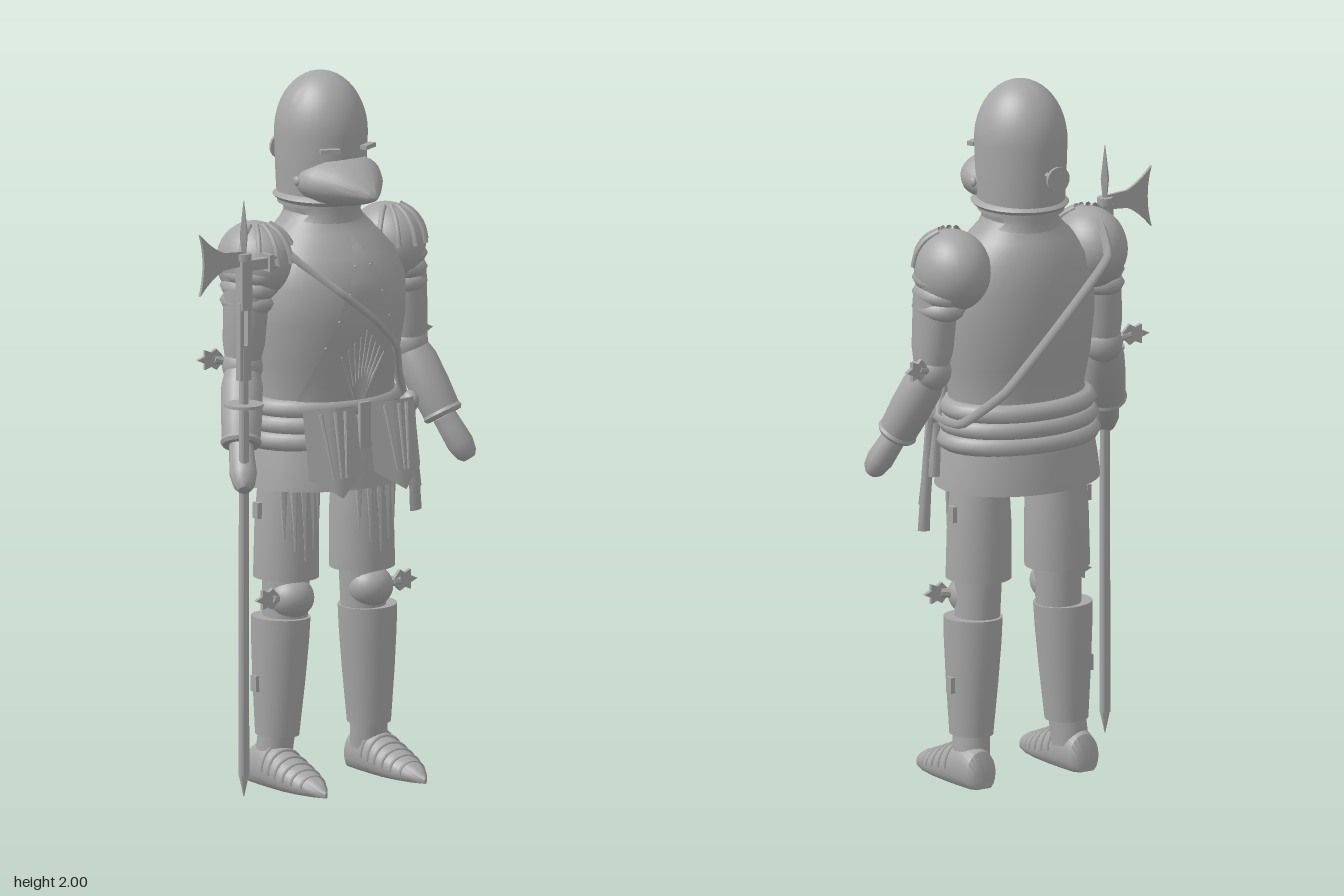
import * as THREE from 'three';
import { toCreasedNormals } from 'three/addons/utils/BufferGeometryUtils.js';

const steel = new THREE.MeshStandardMaterial({ color: 0xa6a6a6, side: THREE.DoubleSide });
steel.name = 'steel grey';
const V = (x, y, z) => new THREE.Vector3(x, y, z);

function add(parent, name, geometry, x = 0, y = 0, z = 0) {
  const mesh = new THREE.Mesh(geometry, steel);
  mesh.name = name;
  mesh.position.set(x, y, z);
  parent.add(mesh);
  return mesh;
}

// Capped skin through elliptical rings [y, rx, rz, cz, cx], listed upwards
function loft(rings, seg = 32, crease = 0.75) {
  const pos = [], idx = [];
  for (const [y, rx, rz, cz = 0, cx = 0] of rings)
    for (let j = 0; j < seg; j++) {
      const a = (j / seg) * Math.PI * 2;
      pos.push(cx + rx * Math.sin(a), y, cz + rz * Math.cos(a));
    }
  const n = rings.length, first = rings[0], last = rings[n - 1];
  pos.push(first[4] || 0, first[0], first[3] || 0, last[4] || 0, last[0], last[3] || 0);
  for (let j = 0; j < seg; j++) {
    const k = (j + 1) % seg;
    for (let i = 0; i < n - 1; i++) {
      const a = i * seg + j, b = i * seg + k;
      idx.push(a, b, b + seg, a, b + seg, a + seg);
    }
    idx.push(n * seg, k, j, n * seg + 1, (n - 1) * seg + j, (n - 1) * seg + k);
  }
  const g = new THREE.BufferGeometry();
  g.setAttribute('position', new THREE.Float32BufferAttribute(pos, 3));
  g.setIndex(idx);
  return toCreasedNormals(g, crease);
}

// Limb from low point a to high point b, rings [t, rx, rz]
function limb(parent, name, a, b, rings, seg = 24) {
  const d = b.clone().sub(a), len = d.length();
  const m = add(parent, name, loft(rings.map(([t, rx, rz = rx]) => [t * len, rx, rz]), seg), a.x, a.y, a.z);
  m.quaternion.setFromUnitVectors(V(0, 1, 0), d.normalize());
  return m;
}
const rod = (parent, name, a, b, r0, r1 = r0, seg = 8) => limb(parent, name, a, b, [[0, r0], [1, r1]], seg);

function ball(parent, name, p, rx, ry, rz) {
  const m = add(parent, name, new THREE.SphereGeometry(1, 28, 18), p.x, p.y, p.z);
  m.scale.set(rx, ry, rz);
  return m;
}

// Rounded hoop of elliptical outline
const hoop = (y, rx, rz, h, cz = 0) => loft([-1, -0.7, 0, 0.7, 1].map((t) => {
  const k = 0.02 * (1 - t * t) - 0.02;
  return [y + t * h, rx + k, rz + k, cz];
}), 36, 1.2);

const torsoRings = [[1.02, 0.205, 0.145, -0.01], [1.12, 0.205, 0.15, 0], [1.2, 0.22, 0.166, 0], [1.32, 0.235, 0.183, 0.004],
  [1.42, 0.232, 0.184, 0.006], [1.5, 0.205, 0.165, -0.005], [1.56, 0.15, 0.13, -0.018], [1.6, 0.11, 0.105, -0.02], [1.63, 0.1, 0.1, -0.02]];

// Point on the front of the breastplate, lifted by o
function chest(x, y, o) {
  let i = 0;
  while (i < torsoRings.length - 2 && y > torsoRings[i + 1][0]) i++;
  const a = torsoRings[i], b = torsoRings[i + 1], t = (y - a[0]) / (b[0] - a[0]);
  const [rx, rz, cz] = [1, 2, 3].map((k) => a[k] + (b[k] - a[k]) * t);
  return V(x, y, cz + rz * Math.sqrt(Math.max(0, 1 - (x / rx) ** 2)) + o);
}

// Pointed fan plate that opens towards +x
function fan() {
  const s = new THREE.Shape([[0, -0.008], [0.02, -0.03], [0.035, -0.02], [0.055, -0.028], [0.055, -0.01], [0.078, 0],
    [0.055, 0.01], [0.055, 0.028], [0.035, 0.02], [0.02, 0.03], [0, 0.008]].map(([x, y]) => new THREE.Vector2(x, y)));
  return new THREE.ExtrudeGeometry(s, { depth: 0.012, bevelEnabled: false }).translate(0, 0, -0.006);
}

function buildHelmet(g) {
  const skull = [[1.63, 0.118, 0.128, -0.025], [1.7, 0.122, 0.134, -0.025]];
  for (let i = 0; i <= 12; i++) {
    const a = (i / 12) * Math.PI / 2, c = Math.max(0.001, Math.cos(a));
    skull.push([1.83 + 0.17 * Math.sin(a), 0.127 * c, 0.137 * c, -0.025]);
  }
  add(g, 'helmet', loft(skull, 40, 1.2));
  add(g, 'helmetRim', hoop(1.652, 0.134, 0.145, 0.014, -0.02));
  add(g, 'gorget', loft([[1.58, 0.125, 0.115, -0.02], [1.61, 0.105, 0.11, -0.02], [1.65, 0.115, 0.12, -0.02]]));
  // Beaked visor, skinned along z
  const snout = [[0, 0.11, 0.055, 1.7], [0.04, 0.125, 0.068, 1.705], [0.09, 0.122, 0.072, 1.707], [0.14, 0.093, 0.058, 1.702],
    [0.19, 0.052, 0.035, 1.692], [0.22, 0.022, 0.016, 1.683], [0.236, 0.002, 0.002, 1.68]];
  add(g, 'visor', loft(snout.map(([z, rx, ry, y]) => [z, rx, ry, -y]), 32, 1.2).rotateX(Math.PI / 2));
  for (const s of [-1, 1]) {
    add(g, 'browBar', new THREE.BoxGeometry(0.055, 0.012, 0.02), s * 0.065, 1.8, 0.108).rotation.y = s * 0.45;
    ball(g, 'visorPivot', V(s * 0.123, 1.71, 0.03), 0.008, 0.014, 0.014);
    for (let i = 0; i < 3; i++) ball(g, 'breath', V(s * (0.05 + i * 0.02), 1.69 + (i % 2) * 0.025, 0.172 - i * 0.02), 0.005, 0.005, 0.006);
  }
  rod(g, 'crestPin', V(0, 1.87, 0.098), V(0.006, 1.91, 0.085), 0.004);
  rod(g, 'rondelStem', V(0, 1.755, -0.215), V(0, 1.755, -0.15), 0.008);
  add(g, 'rondel', new THREE.CylinderGeometry(0.036, 0.036, 0.008, 24).rotateX(Math.PI / 2), 0, 1.755, -0.216);
}

function buildTorso(g) {
  add(g, 'cuirass', loft(torsoRings, 44, 1.2));
  // Pointed overlay plate that follows the chest
  const plate = new THREE.PlaneGeometry(1, 1, 16, 16), p = plate.attributes.position;
  for (let i = 0; i < p.count; i++) {
    const v = p.getY(i) + 0.5, q = chest(p.getX(i) * 2 * 0.175 * (1 - v) ** 0.9, 1.08 + v * 0.48, 0.007);
    p.setXYZ(i, q.x, q.y, q.z);
  }
  plate.computeVertexNormals();
  add(g, 'plackart', plate);
  for (let i = -4; i <= 4; i++)
    rod(g, 'fanRay', chest(i * 0.003, 1.1, 0.01), chest(i * 0.018, 1.3 - Math.abs(i) * 0.018, 0.012), 0.006, 0.002, 6);
  for (const s of [-1, 1]) for (let i = 0; i < 4; i++)
    ball(g, 'rivet', chest(s * (0.025 + i * 0.03), 1.48 - i * 0.075, 0.006), 0.004, 0.004, 0.004);
  // Baldric across chest and back
  const front = [[-0.17, 1.5], [-0.08, 1.41], [0.02, 1.33], [0.12, 1.24], [0.18, 1.14]].map(([x, y]) => chest(x, y, 0.014));
  const path = [V(-0.22, 1.59, 0), ...front, V(0.235, 1.05, 0.04), V(0.245, 1.06, -0.1), V(0.16, 1.16, -0.195),
    V(0.0, 1.34, -0.225), V(-0.17, 1.5, -0.205), V(-0.215, 1.57, -0.1)];
  add(g, 'baldric', new THREE.TubeGeometry(new THREE.CatmullRomCurve3(path, true, 'catmullrom', 0.2), 72, 0.013, 4, true));
  // Waist hoops and skirt
  [1.075, 1.03, 0.985].forEach((y, i) => add(g, 'waistHoop', hoop(y, 0.235 + i * 0.006, 0.178 + i * 0.006, 0.026, -0.01)));
  add(g, 'skirt', loft([[0.85, 0.244, 0.195, -0.006], [0.91, 0.236, 0.188, -0.008], [0.97, 0.225, 0.178, -0.01]], 40));
  add(g, 'buckle', new THREE.BoxGeometry(0.035, 0.13, 0.012), 0, 1.03, 0.182);
  // Knotted sash ends at the left hip
  [[0.25, 0.88, 0.03], [0.27, 0.8, 0.05], [0.285, 0.73, 0.03]].forEach(([x, y, z], i) => {
    const m = limb(g, 'sashEnd', V(x, y, z), V(0.225 + i * 0.01, 1.06, 0.06), [[0, 0.02, 0.01], [0.5, 0.017, 0.01], [1, 0.012, 0.01]], 8);
    m.renderOrder = 0;
  });
  ball(g, 'sashKnot', V(0.235, 1.05, 0.07), 0.025, 0.03, 0.03);
}

function buildArm(g, s) {
  const wristX = s < 0 ? 0.36 : 0.335, c = V(s * 0.225, 1.485, -0.025);
  const elbow = V(s * 0.283, 1.2, -0.005), wrist = V(s * wristX, 1.0, 0.095);
  ball(g, 'pauldron', c, 0.102, 0.115, 0.122);
  for (let i = 0; i < 5; i++) {
    const a = s * (-0.9 + i * 0.5);
    const pts = [0.35, 0.75, 1.15, 1.5].map((t) => V(c.x + 0.105 * Math.sin(t) * Math.sin(a), c.y + 0.118 * Math.cos(t), c.z + 0.125 * Math.sin(t) * Math.cos(a)));
    add(g, 'pauldronRib', new THREE.TubeGeometry(new THREE.CatmullRomCurve3(pts), 10, 0.008, 6));
  }
  [1.46, 1.42, 1.38].forEach((y, i) => add(g, 'shoulderLame', hoop(0, 0.078 - i * 0.004, 0.1 - i * 0.006, 0.026), s * (0.25 + i * 0.006), y, -0.012));
  limb(g, 'upperArm', elbow, V(s * 0.268, 1.42, -0.005), [[0, 0.045, 0.05], [0.3, 0.056, 0.065], [1, 0.06, 0.072]]);
  ball(g, 'elbowCop', elbow, 0.055, 0.06, 0.06);
  rod(g, 'elbowStem', V(s * 0.31, 1.21, -0.035), V(s * 0.35, 1.22, -0.045), 0.012);
  add(g, 'elbowWing', fan(), s * 0.325, 1.22, -0.042).rotation.y = s > 0 ? 0.2 : Math.PI - 0.2;
  limb(g, 'forearm', wrist, elbow, [[0, 0.05], [0.08, 0.054], [0.4, 0.058], [0.75, 0.058], [1, 0.045]]);
  const cuff = wrist.clone().lerp(elbow, 0.08);
  limb(g, 'cuff', wrist, cuff, [[0, 0.052], [0.5, 0.058], [1, 0.054]]);
  const hand = s < 0 ? V(-0.395, 0.93, 0.155) : V(0.365, 0.925, 0.13);
  const tip = hand.clone().addScaledVector(hand.clone().sub(wrist).normalize(), 0.05);
  limb(g, 'gauntlet', tip, wrist, [[0, 0.018], [0.1, 0.03], [0.35, 0.038], [0.7, 0.036], [1, 0.034]], 14);
}

function buildLeg(g, s) {
  // Thigh guard with front flutes
  limb(g, 'thighGuard', V(s * 0.13, 0.585, -0.01), V(s * 0.125, 0.9, -0.01), [[0, 0.092, 0.092], [0.5, 0.09, 0.09], [1, 0.078, 0.082]], 28);
  for (let i = -2; i <= 2; i++) {
    const a = i * 0.35, x = s * 0.129 + 0.088 * Math.sin(a);
    rod(g, 'thighFlute', V(x, 0.64 + Math.abs(i) * 0.03, -0.01 + 0.09 * Math.cos(a)), V(x, 0.86, -0.012 + 0.084 * Math.cos(a)), 0.003, 0.013, 6);
  }
  limb(g, 'kneeCore', V(s * 0.135, 0.44, -0.01), V(s * 0.13, 0.62, -0.01), [[0, 0.062, 0.065], [1, 0.066, 0.07]]);
  ball(g, 'kneeCop', V(s * 0.135, 0.53, 0.02), 0.065, 0.06, 0.065);
  rod(g, 'kneeStem', V(s * 0.18, 0.535, 0.03), V(s * 0.22, 0.54, 0.045), 0.014);
  add(g, 'kneeWing', fan(), s * 0.198, 0.54, 0.045).rotation.y = s > 0 ? 0 : Math.PI;
  limb(g, 'greave', V(s * 0.157, 0.14, -0.015), V(s * 0.148, 0.475, -0.01), [[0, 0.06, 0.064], [0.45, 0.072, 0.076], [0.8, 0.08, 0.082], [1, 0.083, 0.082]], 28);
  for (const [x, y] of [[0.222, 0.78], [0.228, 0.29]]) add(g, 'strapBuckle', new THREE.BoxGeometry(0.014, 0.045, 0.025), s * x, y, -0.02);
  // Pointed shoe with overlapping lames
  const shoe = [[-0.1, 0.03, 0.04], [-0.085, 0.048, 0.065], [-0.03, 0.056, 0.08], [0.03, 0.06, 0.068], [0.09, 0.061, 0.052],
    [0.15, 0.05, 0.038], [0.2, 0.03, 0.026], [0.236, 0.004, 0.01]];
  const sole = loft(shoe.map(([z, rx, h]) => [z, rx, h, -h * 0.6]), 24, 1).rotateX(Math.PI / 2), p = sole.attributes.position;
  for (let i = 0; i < p.count; i++) p.setY(i, Math.max(0, p.getY(i)));
  sole.computeVertexNormals();
  add(g, 'shoe', toCreasedNormals(sole, 0.8), s * 0.17, 0, 0);
  for (let i = 0; i < 6; i++) {
    const z = 0.01 + i * 0.032, k = shoe.findIndex((r) => r[0] > z), a = shoe[k - 1], b = shoe[k], t = (z - a[0]) / (b[0] - a[0]);
    const rx = a[1] + (b[1] - a[1]) * t, h = a[2] + (b[2] - a[2]) * t;
    const lame = add(g, 'shoeLame', new THREE.TorusGeometry(1, 0.09, 6, 16, Math.PI), s * 0.17, h * 0.6, z);
    lame.scale.set(rx, h, 0.06);
  }
  limb(g, 'ankle', V(s * 0.163, 0.07, -0.025), V(s * 0.157, 0.16, -0.015), [[0, 0.052], [1, 0.052]]);
  // Hanging tasset, folded on its centre line and pointed at the foot
  const t = new THREE.PlaneGeometry(0.17, 0.19, 8, 6), q = t.attributes.position;
  for (let i = 0; i < q.count; i++) {
    const x = q.getX(i), e = Math.abs(x) / 0.085, v = q.getY(i) / 0.19 + 0.5;
    q.setXYZ(i, x, q.getY(i) - (1 - e) * 0.06 * (1 - v), -e * 0.03);
  }
  t.computeVertexNormals();
  const tasset = add(g, 'tasset', t, s * 0.108, 0.995, 0.205);
  tasset.rotation.set(-0.17, s * 0.1, 0);
  for (const x of [-0.04, 0, 0.04]) rod(tasset, 'tassetRib', V(x * 0.5, -0.1, 0.002 - Math.abs(x) * 0.17), V(x, 0.085, 0.004 - Math.abs(x) * 0.35), 0.003, 0.006, 6);
}

function buildHalberd(g) {
  rod(g, 'pole', V(0, 0.08, 0), V(0, 1.3, 0), 0.016, 0.014, 10);
  rod(g, 'buttSpike', V(0, 0.02, 0), V(0, 0.085, 0), 0.001, 0.015, 6);
  add(g, 'handDisc', new THREE.CylinderGeometry(0.055, 0.055, 0.008, 28), 0, 1.13, 0);
  for (const s of [-1, 1]) add(g, 'langet', new THREE.BoxGeometry(0.012, 0.22, 0.02), s * 0.013, 1.31, 0);
  add(g, 'socket', new THREE.BoxGeometry(0.034, 0.14, 0.034), 0, 1.47, 0);
  add(g, 'collar', new THREE.CylinderGeometry(0.022, 0.022, 0.02, 12), 0, 1.55, 0);
  limb(g, 'topSpike', V(0, 1.55, 0), V(0, 1.71, 0), [[0, 0.007], [0.4, 0.014], [1, 0.001]], 4);
  // Axe blade with concave edges
  const b = new THREE.Shape();
  b.moveTo(0, 1.565);
  b.lineTo(-0.07, 1.57);
  b.quadraticCurveTo(-0.11, 1.585, -0.152, 1.63);
  b.quadraticCurveTo(-0.125, 1.545, -0.152, 1.455);
  b.quadraticCurveTo(-0.11, 1.505, -0.07, 1.52);
  b.lineTo(0, 1.525);
  add(g, 'axeBlade', new THREE.ExtrudeGeometry(b, { depth: 0.009, bevelEnabled: false }), 0, 0, -0.0045);
  // Hammer with four prongs
  add(g, 'hammerNeck', new THREE.BoxGeometry(0.07, 0.03, 0.028), 0.045, 1.525, 0);
  add(g, 'hammerHead', new THREE.BoxGeometry(0.014, 0.048, 0.048), 0.08, 1.525, 0);
  for (const y of [-1, 1]) for (const z of [-1, 1])
    add(g, 'prong', new THREE.ConeGeometry(0.011, 0.022, 4).rotateZ(-Math.PI / 2), 0.097, 1.525 + y * 0.013, z * 0.013);
}

export function createModel() {
  const model = new THREE.Group(), knight = new THREE.Group(), halberd = new THREE.Group();
  model.name = 'armouredFigure';
  knight.name = 'armour';
  halberd.name = 'halberd';
  knight.position.x = 0.07;
  halberd.position.set(-0.325, 0, 0.157);
  model.add(knight, halberd);
  buildHelmet(knight);
  buildTorso(knight);
  for (const s of [-1, 1]) {
    buildArm(knight, s);
    buildLeg(knight, s);
  }
  buildHalberd(halberd);
  return model;
}
